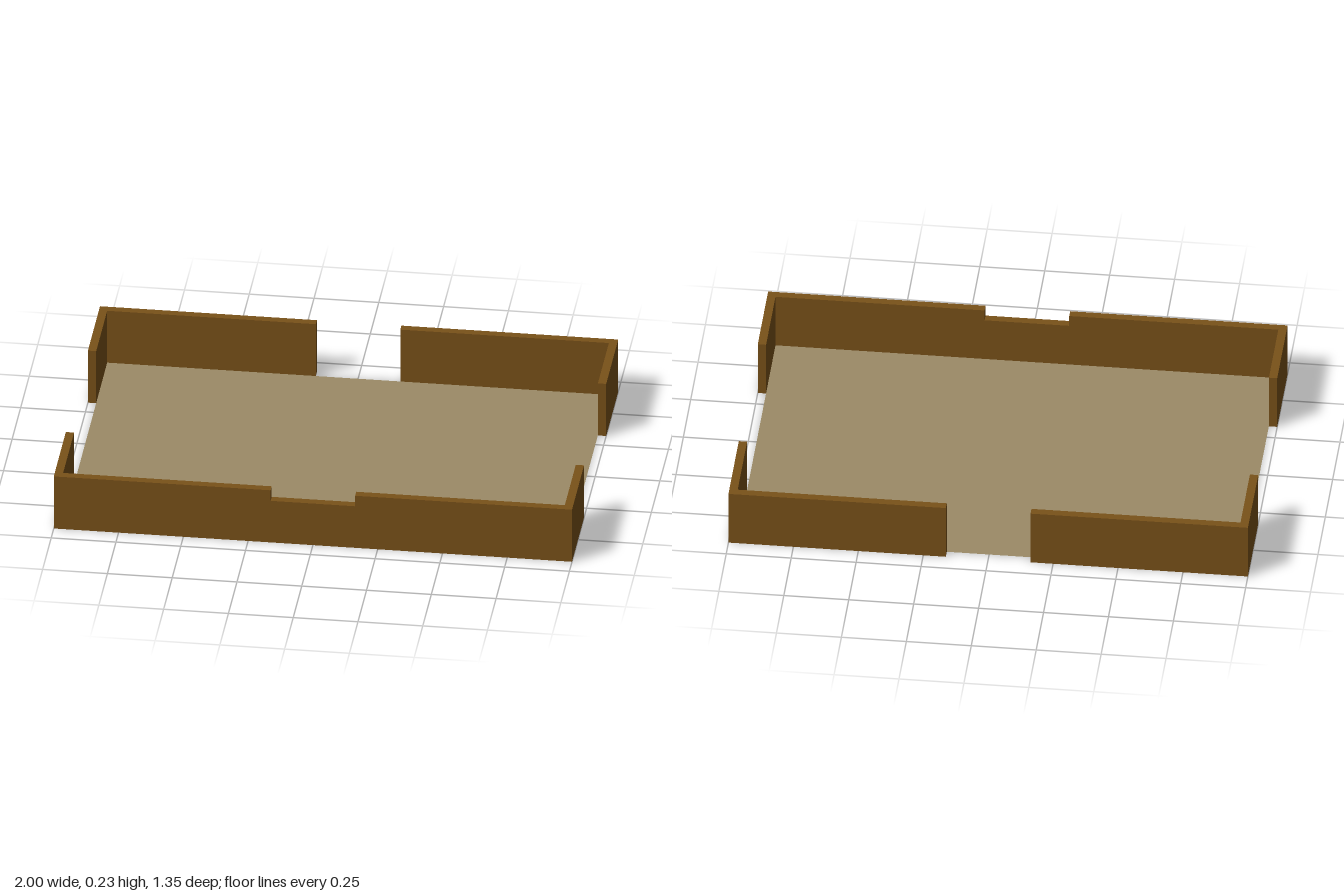
import * as THREE from 'three';

const W = 1, D = 0.675;        // outer half width and half depth
const T = 0.032;               // wall thickness
const H = 0.228, LOW = 0.182;  // wall height, height in the front notch
const GAP = 0.163;             // half width of the front notch and back gap
const SIDE = 0.323;            // half length of the side openings

export function createModel() {
  const model = new THREE.Group();
  const wood = new THREE.MeshStandardMaterial({ color: 0x7a5219 });
  const base = new THREE.MeshStandardMaterial({ color: 0x9c8b67, side: THREE.DoubleSide });

  const add = (name, geometry, material, x = 0, y = 0, z = 0) => {
    const mesh = new THREE.Mesh(geometry, material);
    mesh.name = name;
    mesh.position.set(x, y, z);
    model.add(mesh);
    return mesh;
  };
  const outline = (points) => new THREE.Shape(points.map(([x, y]) => new THREE.Vector2(x, y)));

  // Thin floor sheet between the walls
  const floor = new THREE.PlaneGeometry(2 * (W - T), 2 * (D - T)).rotateX(-Math.PI / 2);
  add('floor', floor, base, 0, 0.001, 0);

  // Front wall with a shallow notch in its top edge
  const front = outline([
    [-W, 0], [W, 0], [W, H], [GAP, H], [GAP, LOW], [-GAP, LOW], [-GAP, H], [-W, H],
  ]);
  add('frontWall', new THREE.ExtrudeGeometry(front, { depth: T, bevelEnabled: false }), wood, 0, 0, D - T);

  for (const [s, side] of [[1, 'left'], [-1, 'right']]) {
    // Short side wall returning from the front
    const length = D - T - SIDE;
    add(side + 'FrontSideWall', new THREE.BoxGeometry(T, H, length), wood,
      s * (W - T / 2), H / 2, SIDE + length / 2);

    // L-shaped back corner, drawn as a plan and extruded upwards
    const corner = outline([
      [GAP, D], [W, D], [W, SIDE], [W - T, SIDE], [W - T, D - T], [GAP, D - T],
    ].map(([x, y]) => [s * x, y]));
    const geometry = new THREE.ExtrudeGeometry(corner, { depth: H, bevelEnabled: false });
    add(side + 'BackCornerWall', geometry.rotateX(-Math.PI / 2), wood);
  }
  return model;
}
